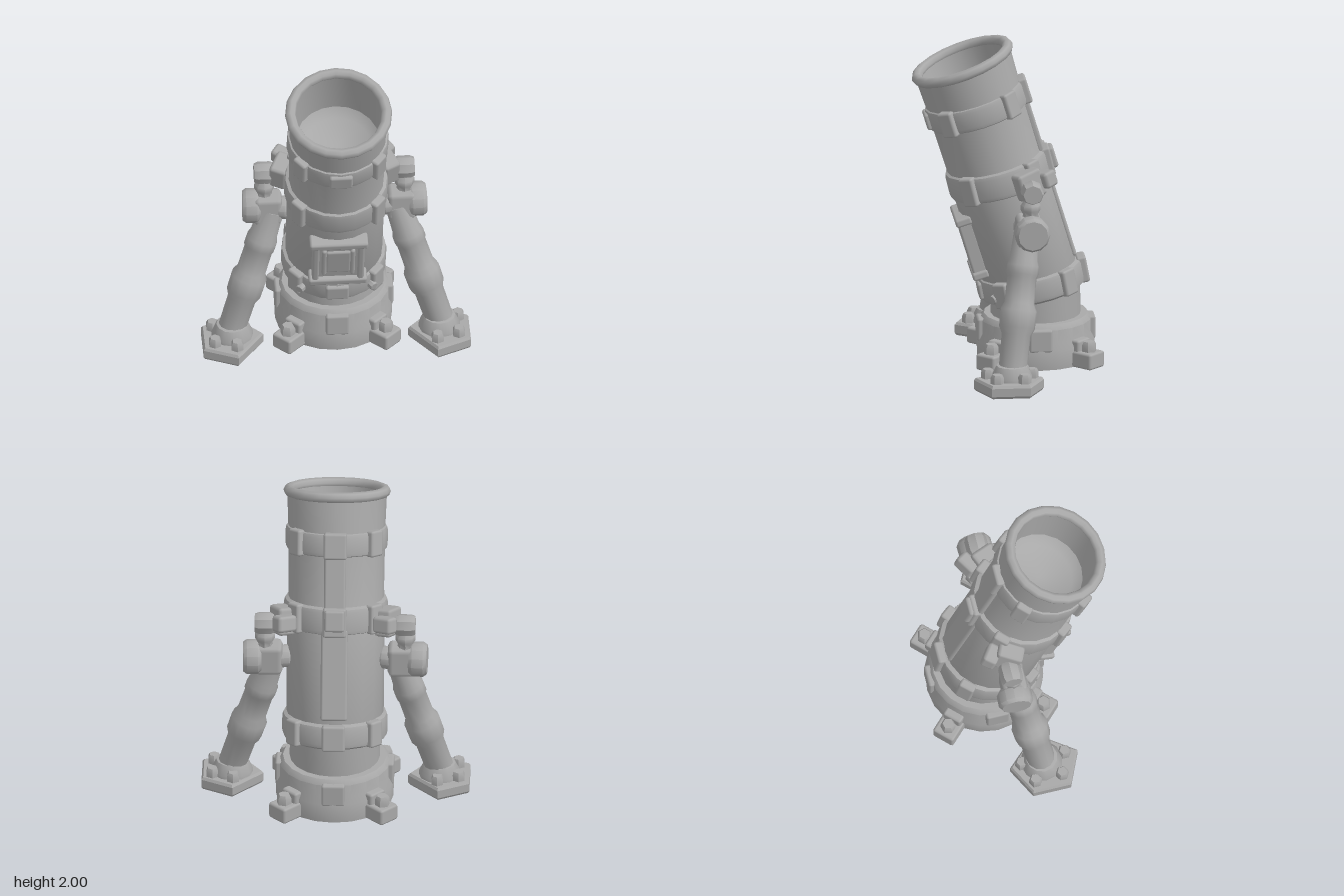
import * as THREE from 'three';
import { toCreasedNormals } from 'three/addons/utils/BufferGeometryUtils.js';
import { RoundedBoxGeometry } from 'three/addons/geometries/RoundedBoxGeometry.js';

const RAD = Math.PI / 180;

export function createModel() {
  const steel = new THREE.MeshStandardMaterial({ color: 0xa8a8a8 });
  steel.name = 'grey steel';
  const root = new THREE.Group();
  root.name = 'mortar';

  const add = (parent, name, geo, x = 0, y = 0, z = 0, rx = 0, ry = 0, rz = 0) => {
    const m = new THREE.Mesh(geo, steel);
    m.name = name;
    m.position.set(x, y, z);
    m.rotation.set(rx, ry, rz);
    parent.add(m);
    return m;
  };
  const lathe = (pts, n = 20) => toCreasedNormals(
    new THREE.LatheGeometry(pts.map(p => new THREE.Vector2(...p)), n), 40 * RAD);
  const box = (w, h, d, r = 0.015) => new RoundedBoxGeometry(w, h, d, 1, r);
  const up = new THREE.Vector3(0, 1, 0);
  // Solid turned along the line a-b; profile is [radius, fraction of length]
  const rod = (parent, name, a, b, profile, n = 12) => {
    const A = new THREE.Vector3(...a), d = new THREE.Vector3(...b).sub(A), len = d.length();
    const m = add(parent, name, lathe(profile.map(([r, t]) => [r, t * len]), n), ...a);
    m.quaternion.setFromUnitVectors(up, d.normalize());
    return m;
  };
  const drum = r => [[0, 0], [r * 0.85, 0], [r, 0.2], [r, 0.8], [r * 0.85, 1], [0, 1]];
  const bolt = (parent, x, y, z, r = 0.04, h = 0.07) => add(parent, 'bolt',
    lathe([[0, 0], [r, 0], [r, h * 0.7], [r * 0.75, h], [0, h]], 6), x, y, z);

  // Base: stepped round plate with a pedestal
  const base = new THREE.Group();
  base.name = 'base';
  base.position.z = -0.17;
  root.add(base);
  add(base, 'basePlate', lathe([[0, 0.04], [0.35, 0.04], [0.355, 0.16], [0.335, 0.2],
    [0.335, 0.28], [0.31, 0.31], [0.27, 0.31], [0.265, 0.6], [0, 0.6]]));
  for (let i = 0; i < 4; i++) {
    const a = (45 + i * 90) * RAD;
    const clamp = new THREE.Group();
    clamp.name = 'baseClamp';
    clamp.rotation.y = a;
    base.add(clamp);
    add(clamp, 'clampFoot', box(0.14, 0.1, 0.19), 0, 0.09, 0.385);
    add(clamp, 'clampStep', box(0.12, 0.09, 0.08), 0, 0.16, 0.34);
    bolt(clamp, 0, 0.13, 0.415, 0.045, 0.07);
    // Upper blocks between the clamps
    add(base, 'baseBlock', box(0.14, 0.14, 0.06), Math.sin(a + Math.PI / 4) * 0.325, 0.22,
      Math.cos(a + Math.PI / 4) * 0.325, 0, a + Math.PI / 4);
  }

  // Tilted barrel
  const barrel = new THREE.Group();
  barrel.name = 'barrel';
  barrel.position.set(0, 0.47, -0.16);
  barrel.rotation.x = 17 * RAD;
  root.add(barrel);
  add(barrel, 'tube', lathe([[0, -0.03], [0.26, -0.03], [0.29, 0.03], [0.293, 0.74], [0.285, 0.8],
    [0.29, 1.25], [0.298, 1.46], [0.262, 1.47], [0.25, 1.2], [0.2, 1.15], [0, 1.13]]));
  add(barrel, 'muzzleRim', new THREE.TorusGeometry(0.288, 0.033, 8, 20), 0, 1.468, 0, 93 * RAD);

  // Bands: height, radius, width, extra tilt
  const bands = [[0.05, 0.315, 0.13, -6], [0.74, 0.31, 0.15, -3], [1.19, 0.305, 0.13, 0]];
  bands.forEach(([t, r, w, tilt], i) => {
    const g = new THREE.Group();
    g.name = ['lowerBand', 'middleBand', 'upperBand'][i];
    g.position.y = t;
    g.rotation.x = tilt * RAD;
    barrel.add(g);
    add(g, 'bandRing', lathe([[r - 0.04, -w / 2 - 0.02], [r - 0.005, -w / 2], [r, -w / 2 + 0.02],
      [r, w / 2 - 0.02], [r - 0.005, w / 2], [r - 0.04, w / 2 + 0.015]]));
    // Clasp blocks around the band
    for (const deg of [50, -50, 130, -130, 180]) {
      const a = deg * RAD, back = deg === 180;
      add(g, 'clasp', box(back ? 0.14 : 0.1, w + 0.03, 0.06),
        Math.sin(a) * (r - 0.005), 0, Math.cos(a) * (r - 0.005), 0, a);
    }
    if (i !== 1) add(g, 'frontClasp', box(0.14, w * 0.8, 0.05), 0, 0, r - 0.01);
  });
  add(barrel, 'rearLatch', box(0.12, 0.13, 0.07), 0, 0.74, -0.325);
  add(barrel, 'rearSpine', box(0.13, 0.42, 0.04), 0, 0.97, -0.288);
  add(barrel, 'rearPlate', box(0.16, 0.56, 0.03), 0, 0.4, -0.286);
  for (const s of [-1, 1]) rod(barrel, 'bandBolt', [s * 0.2, 0.06, 0.23], [s * 0.225, 0.06, 0.265], drum(0.028), 8);

  // Framed access panel on the front
  const panel = new THREE.Group();
  panel.name = 'frontPanel';
  panel.position.set(0, 0.385, 0.28);
  barrel.add(panel);
  add(panel, 'panelPlate', box(0.29, 0.36, 0.07), 0, 0, -0.015);
  add(panel, 'panelInset', box(0.15, 0.2, 0.03), 0, 0, 0.02);
  for (const s of [-1, 1]) {
    add(panel, 'panelSideBar', box(0.04, 0.34, 0.09), s * 0.135, 0, 0);
    add(panel, 'panelCrossBar', box(0.35, 0.05, 0.1), 0, s * 0.175, 0.005);
    add(panel, 'panelInnerBar', box(0.03, 0.24, 0.045), s * 0.085, 0, 0.02);
  }

  // Support legs, one on each side
  for (const s of [-1, 1]) {
    const leg = new THREE.Group();
    leg.name = s > 0 ? 'leftLeg' : 'rightLeg';
    root.add(leg);

    // Five-sided foot pad with bolts
    const pad = new THREE.Shape([[0.79, -0.06], [0.79, 0.16], [0.6, 0.245], [0.445, 0.03], [0.615, -0.15]]
      .map(([x, z]) => new THREE.Vector2(s * x, -z)));
    const padGeo = new THREE.ExtrudeGeometry(pad, { depth: 0.05, bevelEnabled: true,
      bevelThickness: 0.015, bevelSize: 0.01, bevelSegments: 1 });
    padGeo.rotateX(-Math.PI / 2);
    add(leg, 'footPad', padGeo, 0, 0.015, 0);
    for (const [x, z] of [[0.61, -0.09], [0.735, -0.035], [0.73, 0.13], [0.6, 0.175]])
      bolt(leg, s * x, 0.07, z, 0.04, 0.065);
    add(leg, 'ankle', lathe([[0, 0.06], [0.125, 0.06], [0.125, 0.1], [0.095, 0.16], [0, 0.18]], 12), s * 0.62, 0, 0.03);

    // Strut with a sleeve at mid height
    rod(leg, 'strut', [s * 0.63, 0.1, 0.03], [s * 0.375, 0.92, -0.08],
      [[0, 0], [0.085, 0], [0.088, 0.28], [0.108, 0.33], [0.11, 0.45], [0.09, 0.5],
        [0.088, 0.68], [0.096, 0.7], [0.096, 0.76], [0.085, 0.8], [0.075, 1], [0, 1]]);

    // Hinge knuckle, link and lug to the barrel
    add(leg, 'hingeBlock', box(0.17, 0.19, 0.15, 0.03), s * 0.4, 0.93, -0.09);
    rod(leg, 'hingeCap', [s * 0.44, 0.935, -0.1], [s * 0.55, 0.935, -0.105], drum(0.105));
    rod(leg, 'hingePin', [s * 0.27, 0.93, -0.07], [s * 0.36, 0.93, -0.09], drum(0.07));
    rod(leg, 'link', [s * 0.42, 0.98, -0.1], [s * 0.42, 1.17, -0.1],
      [[0, 0], [0.06, 0], [0.045, 0.3], [0.06, 0.45], [0.06, 0.6], [0.04, 0.75], [0.04, 1], [0, 1]], 8);
    rod(leg, 'linkKnob', [s * 0.36, 1.17, -0.11], [s * 0.48, 1.17, -0.11], drum(0.068), 8);
    add(leg, 'barrelLug', box(0.11, 0.17, 0.16, 0.02), s * 0.315, 1.19, -0.1, 17 * RAD, s * 25 * RAD);
    add(leg, 'rearLug', box(0.13, 0.1, 0.09, 0.02), s * 0.3, 1.22, -0.2, 17 * RAD, s * 35 * RAD);
  }
  return root;
}
